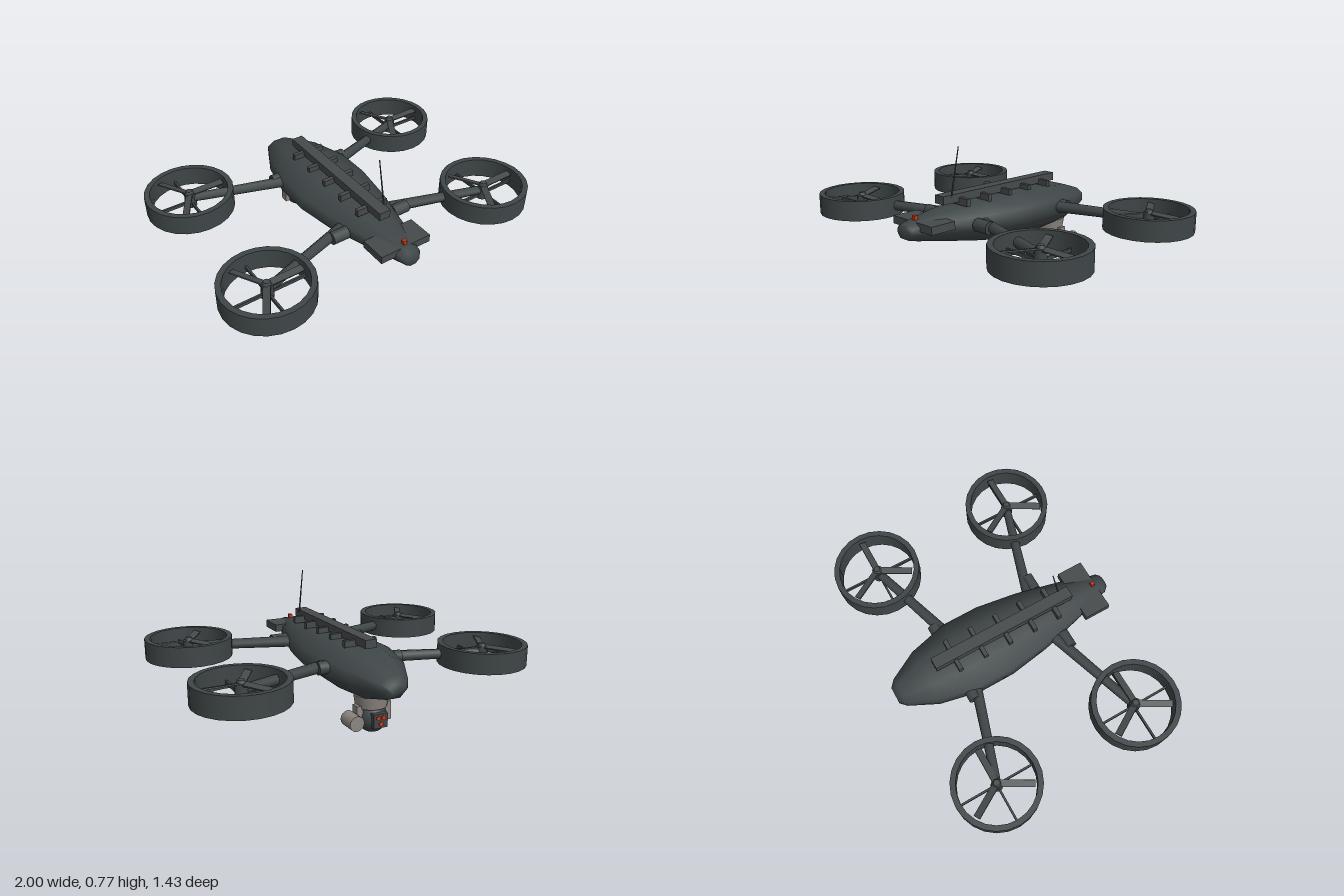
import * as THREE from 'three';

const mat = (name, color) => {
  const m = new THREE.MeshStandardMaterial({ color });
  m.name = name;
  return m;
};

export function createModel() {
  const model = new THREE.Group();
  model.name = 'surveyDrone';
  const dark = mat('dark grey', 0x3f4647);
  const trim = mat('trim grey', 0x464a4b);
  const pale = mat('warm grey', 0x8b8580);
  const red = mat('signal red', 0xc8371f);

  const add = (name, geo, material, x, y, z, parent = model) => {
    const m = new THREE.Mesh(geo, material);
    m.name = name;
    m.position.set(x, y, z);
    parent.add(m);
    return m;
  };
  const box = (name, w, h, d, material, x, y, z, parent) =>
    add(name, new THREE.BoxGeometry(w, h, d), material, x, y, z, parent);
  const rod = (name, a, b, ra, rb, sides, material) => {
    const p = new THREE.Vector3(...a), q = new THREE.Vector3(...b);
    const dir = q.clone().sub(p);
    const mid = p.clone().add(q).multiplyScalar(0.5);
    const m = add(name, new THREE.CylinderGeometry(rb, ra, dir.length(), sides), material, mid.x, mid.y, mid.z);
    m.quaternion.setFromUnitVectors(new THREE.Vector3(0, 1, 0), dir.normalize());
    return m;
  };

  // Hull: soft octagonal sections [z, half width, bottom, top]
  const stations = [
    [-0.715, 0.05, 0.285, 0.34], [-0.68, 0.085, 0.255, 0.375], [-0.51, 0.168, 0.215, 0.432],
    [-0.27, 0.222, 0.205, 0.46], [-0.05, 0.222, 0.208, 0.458], [0.2, 0.185, 0.222, 0.45],
    [0.48, 0.118, 0.272, 0.43], [0.64, 0.068, 0.302, 0.41], [0.69, 0.058, 0.315, 0.4], [0.71, 0.04, 0.325, 0.39],
  ];
  const section = [[0.45, 0], [1, 0.38], [1, 0.76], [0.45, 1]];
  const ring = [...section, ...section.map(([x, y]) => [-x, y]).reverse()];
  const n = ring.length, pos = [], idx = [];
  for (const [z, w, lo, hi] of stations) for (const [x, y] of ring) pos.push(x * w, lo + y * (hi - lo), z);
  for (let i = 0; i < stations.length - 1; i++) {
    for (let j = 0; j < n; j++) {
      const a = i * n + j, b = i * n + (j + 1) % n;
      idx.push(a, b, b + n, a, b + n, a + n);
    }
  }
  const last = (stations.length - 1) * n;
  for (let j = 1; j < n - 1; j++) idx.push(0, j + 1, j, last, last + j, last + j + 1);
  const hull = new THREE.BufferGeometry();
  hull.setAttribute('position', new THREE.Float32BufferAttribute(pos, 3));
  hull.setIndex(idx);
  hull.computeVertexNormals();
  add('hull', hull, dark, 0, 0, 0);

  // Top rail with cross clips, antenna, end plate and beacon
  box('topRail', 0.07, 0.048, 0.9, trim, 0, 0.488, 0.005);
  for (let i = -2; i <= 2; i++) box('railClip', 0.2, 0.042, 0.025, trim, 0, 0.468, 0.005 + i * 0.163);
  rod('antenna', [0.035, 0.5, 0.398], [0.035, 0.772, 0.343], 0.005, 0.003, 6, dark);
  box('endPlate', 0.325, 0.045, 0.16, trim, 0, 0.385, 0.565);
  box('beacon', 0.022, 0.03, 0.022, red, 0, 0.42, 0.625);

  // Ducted rotors on arms
  const ductProfile = [[0.226, 0.29], [0.258, 0.29], [0.258, 0.41], [0.226, 0.41], [0.226, 0.29]];
  const ductSides = [];
  for (let i = 0; i < 4; i++) {
    ductSides.push(new THREE.LatheGeometry(ductProfile.slice(i, i + 2).map(p => new THREE.Vector2(...p)), 24));
  }
  for (const sx of [-1, 1]) {
    for (const sz of [-1, 1]) {
      const socket = add('armSocket', new THREE.CylinderGeometry(0.038, 0.038, 0.1, 12), dark, sx * 0.21, 0.355, sz * 0.322);
      socket.rotation.z = Math.PI / 2;
      rod('arm', [sx * 0.15, 0.352, sz * 0.268], [sx * 0.74, 0.352, sz * 0.455], 0.034, 0.026, 8, dark);

      const rotor = new THREE.Group();
      rotor.name = 'rotor';
      rotor.position.set(sx * 0.74, 0, sz * 0.455);
      model.add(rotor);
      for (const side of ductSides) add('duct', side, dark, 0, 0, 0, rotor);
      box('strutAcross', 0.46, 0.02, 0.012, dark, 0, 0.325, 0, rotor);
      box('strutAlong', 0.012, 0.02, 0.46, dark, 0, 0.325, 0, rotor);
      add('motor', new THREE.CylinderGeometry(0.032, 0.036, 0.085, 12), dark, 0, 0.345, 0, rotor);
      add('hub', new THREE.CylinderGeometry(0.018, 0.026, 0.02, 12), trim, 0, 0.395, 0, rotor);
      for (let k = 0; k < 3; k++) {
        const pivot = new THREE.Group();
        pivot.name = 'bladePivot';
        pivot.rotation.y = k * Math.PI * 2 / 3;
        rotor.add(pivot);
        const blade = box('blade', 0.195, 0.008, 0.04, trim, 0.115, 0.385, 0, pivot);
        blade.rotation.x = 0.25;
      }
    }
  }

  // Gimbal camera slung below
  add('gimbalMount', new THREE.CylinderGeometry(0.098, 0.088, 0.07, 20), pale, 0, 0.182, -0.45);
  for (const s of [-1, 1]) box('gimbalYoke', 0.036, 0.105, 0.05, pale, s * 0.088, 0.112, -0.463);
  add('cameraBall', new THREE.SphereGeometry(0.084, 24, 16), dark, 0, 0.084, -0.463);
  const pod = add('sidePod', new THREE.CylinderGeometry(0.043, 0.043, 0.108, 16), pale, 0.135, 0.09, -0.488);
  pod.rotation.x = Math.PI / 2;
  box('lensHousing', 0.085, 0.08, 0.05, dark, 0, 0.09, -0.534);
  for (const [x, y] of [[-0.016, 0.107], [0.016, 0.107], [0, 0.074]]) {
    const lens = add('lens', new THREE.CylinderGeometry(0.013, 0.013, 0.008, 12), red, x, y, -0.561);
    lens.rotation.x = Math.PI / 2;
  }
  return model;
}
